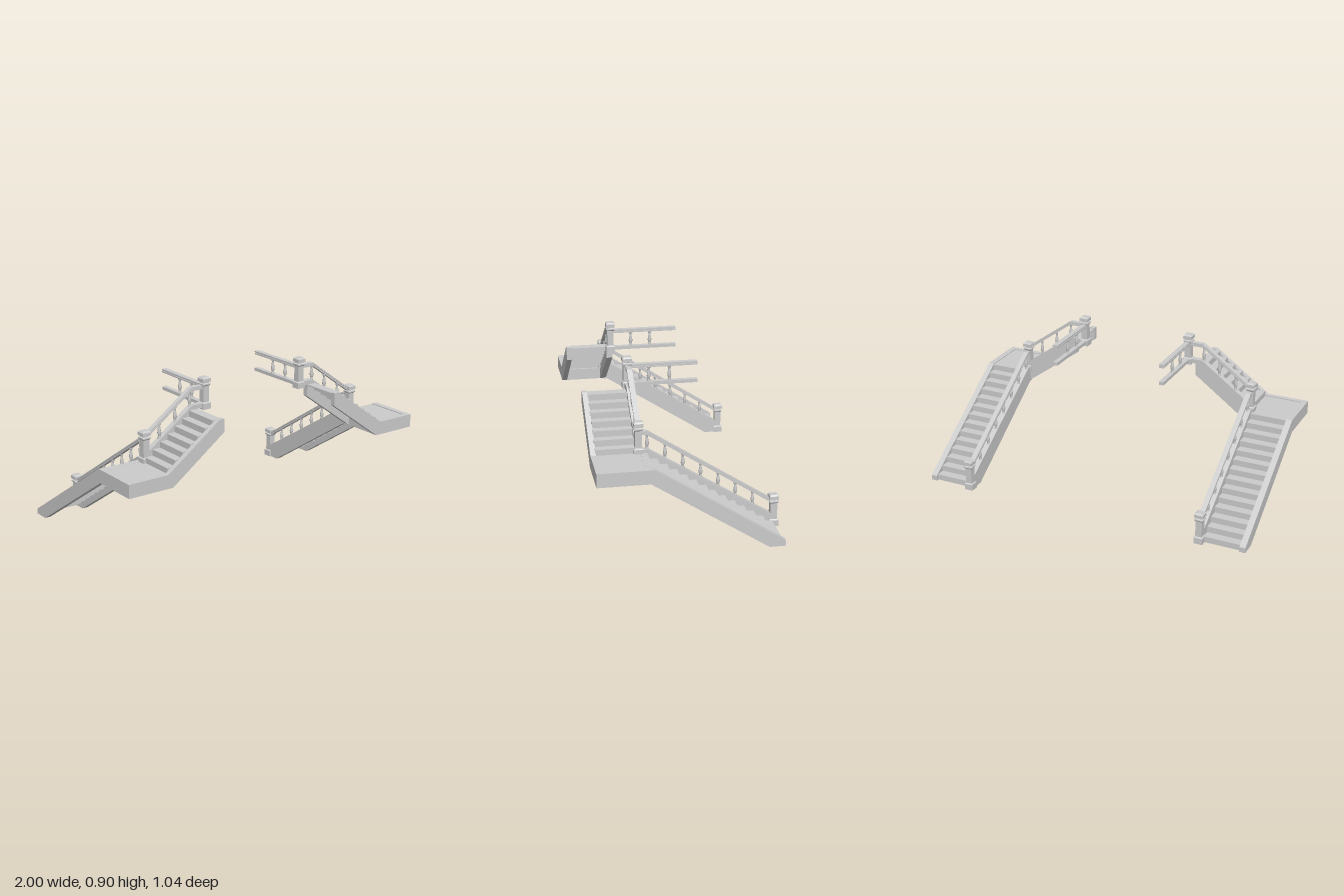
import * as THREE from 'three';

const material = new THREE.MeshStandardMaterial({ color: 0xcccccc, side: THREE.DoubleSide });
const faceted = new THREE.MeshStandardMaterial({ color: 0xcccccc, flatShading: true });

function add(group, name, geometry, mat = material) {
  const mesh = new THREE.Mesh(geometry, mat);
  mesh.name = name;
  group.add(mesh);
  return mesh;
}

// Prism of a side profile, centred on its thickness
function prism(points, width) {
  const shape = new THREE.Shape(points.map(([u, y]) => new THREE.Vector2(u, y)));
  return new THREE.ExtrudeGeometry(shape, { depth: width, bevelEnabled: false }).translate(0, 0, -width / 2);
}

// Folded strip of risers and treads; dir is the climbing direction along u
function stepProfile(u0, y0, run, rise, count, uEnd, dir, t = 0.007) {
  const top = [], under = [];
  for (let i = 0; i < count; i++) {
    const u = u0 + dir * run * i;
    top.push([u, y0 + rise * i], [u, y0 + rise * (i + 1)]);
    under.push([u + dir * t, y0 + rise * i - (i ? t : 0)], [u + dir * t, y0 + rise * (i + 1) - t]);
  }
  top.push([uEnd, y0 + rise * count]);
  under.push([uEnd, y0 + rise * count - t]);
  return [...top, ...under.reverse()];
}

// Band hanging below a path
const band = (path, drop, thick) => [
  ...path.map(([u, y]) => [u, y - drop]),
  ...path.map(([u, y]) => [u, y - drop - thick]).reverse(),
];

// Height of a path at u
function heightAt(path, u) {
  for (let i = 0; i < path.length - 1; i++) {
    const [a, ya] = path[i], [b, yb] = path[i + 1];
    if ((u - a) * (u - b) <= 0) return ya + (yb - ya) * (u - a) / (b - a);
  }
  return path[0][1];
}

// Square newel post with plinth, collar and chamfered cap
function newelPost(group, name, x, y, z, height, base) {
  const profile = [
    [0, 0], [0.026, 0], [0.026, base - 0.006], [0.019, base], [0.019, height - 0.05],
    [0.025, height - 0.044], [0.025, height - 0.037], [0.018, height - 0.033], [0.018, height - 0.029],
    [0.026, height - 0.026], [0.026, height - 0.008], [0.018, height], [0, height],
  ].map(([r, h]) => new THREE.Vector2(r * Math.SQRT2, h));
  const geometry = new THREE.LatheGeometry(profile, 4).rotateY(Math.PI / 4);
  add(group, name, geometry, faceted).position.set(x, y, z);
}

// Turned baluster between two heights
function baluster(group, x, z, y0, y1) {
  const h = y1 - y0;
  const profile = [
    [0.009, 0], [0.009, 0.1], [0.006, 0.14], [0.008, 0.22], [0.0115, 0.36], [0.009, 0.55],
    [0.006, 0.76], [0.0055, 0.84], [0.009, 0.88], [0.009, 1],
  ].map(([r, f]) => new THREE.Vector2(r, f * h));
  add(group, 'baluster', new THREE.LatheGeometry(profile, 8)).position.set(x, y0, z);
}

function createStair(s) {
  const stair = new THREE.Group();
  stair.name = s > 0 ? 'leftStair' : 'rightStair';

  // Profiles in (z, y), placed at x; and profiles in (x, y), placed at z
  const alongZ = (name, pts, width, x) =>
    add(stair, name, prism(pts, width).rotateY(-Math.PI / 2)).position.set(s * x, 0, 0);
  const alongX = (name, pts, width, z) =>
    add(stair, name, prism(pts.map(([x, y]) => [s * x, y]), width)).position.set(0, 0, z);
  const box = (name, x0, x1, y0, y1, z0, z1) =>
    add(stair, name, new THREE.BoxGeometry(x1 - x0, y1 - y0, z1 - z0))
      .position.set(s * (x0 + x1) / 2, (y0 + y1) / 2, (z0 + z1) / 2);

  // Lower flight
  alongZ('lowerOuterStringer', [[0.515, 0.412], [0.23, 0.412], [-0.41, 0], [-0.5, 0], [-0.5, 0.03],
    [0.215, 0.49], [0.515, 0.49]], 0.035, 0.9825);
  const lowerTop = [[-0.5, 0.062], [0.21, 0.505], [0.255, 0.505]];
  alongZ('lowerInnerStringer', [[0.255, 0.412], [0.23, 0.412], [-0.41, 0], [-0.5, 0], ...lowerTop], 0.035, 0.7325);
  alongZ('lowerSteps', stepProfile(-0.485, 0, 0.0535, 0.0347, 14, 0.25, 1), 0.22, 0.857);

  // Landing with its underside rim
  box('landingFloor', 0.74, 0.97, 0.455, 0.485, 0.225, 0.49);
  box('landingBackBeam', 0.75, 0.965, 0.412, 0.455, 0.235, 0.265);
  box('landingSideBeam', 0.725, 0.755, 0.412, 0.48, 0.265, 0.487);

  // Upper flight
  alongX('upperFrontStringer', [[0.999, 0.49], [0.999, 0.412], [0.725, 0.412], [0.39, 0.655], [0.39, 0.73],
    [0.42, 0.73], [0.755, 0.49]], 0.03, 0.5);
  const upperTop = [[0.35, 0.75], [0.43, 0.75], [0.735, 0.53]];
  alongX('upperBackStringer', [[0.735, 0.412], [0.725, 0.412], [0.39, 0.655], [0.39, 0.725], [0.35, 0.725],
    ...upperTop], 0.035, 0.255);
  alongX('upperSteps', stepProfile(0.742, 0.482, 0.0487, 0.0347, 7, 0.392, -1), 0.22, 0.378);

  // Gallery bottom rail
  box('galleryBottomRail', 0.321, 0.349, 0.727, 0.746, -0.14, 0.25);

  // Handrails, each a wide top moulding over a narrower one
  const lowerRail = [[-0.49, 0.155], [0.213, 0.608], [0.25, 0.608]];
  const upperRail = [[0.34, 0.851], [0.433, 0.851], [0.725, 0.641]];
  const galleryRail = [[-0.14, 0.851], [0.25, 0.851]];
  for (const [drop, thick, width] of [[0, 0.008, 0.03], [0.008, 0.005, 0.02], [0.013, 0.008, 0.028]]) {
    alongZ('lowerHandrail', band(lowerRail, drop, thick), width, 0.73);
    alongX('upperHandrail', band(upperRail, drop, thick), width, 0.255);
    alongZ('galleryHandrail', band(galleryRail, drop, thick), width, 0.335);
  }

  // Balusters
  for (let i = 0; i < 7; i++) {
    const z = 0.209 - i * 0.0975;
    baluster(stair, s * 0.73, z, heightAt(lowerTop, z) - 0.004, heightAt(lowerRail, z) - 0.017);
  }
  for (const x of [0.636, 0.533, 0.435])
    baluster(stair, s * x, 0.255, heightAt(upperTop, x) - 0.004, heightAt(upperRail, x) - 0.017);
  for (const z of [0.133, 0.017]) baluster(stair, s * 0.335, z, 0.744, 0.832);

  // Newel posts
  newelPost(stair, 'bottomPost', s * 0.731, 0, -0.495, 0.187, 0.042);
  newelPost(stair, 'landingPost', s * 0.733, 0.485, 0.257, 0.178, 0.03);
  newelPost(stair, 'topPost', s * 0.337, 0.714, 0.257, 0.182, 0.04);
  return stair;
}

export function createModel() {
  const model = new THREE.Group();
  model.name = 'twinStaircase';
  for (const side of [1, -1]) model.add(createStair(side));
  return model;
}
